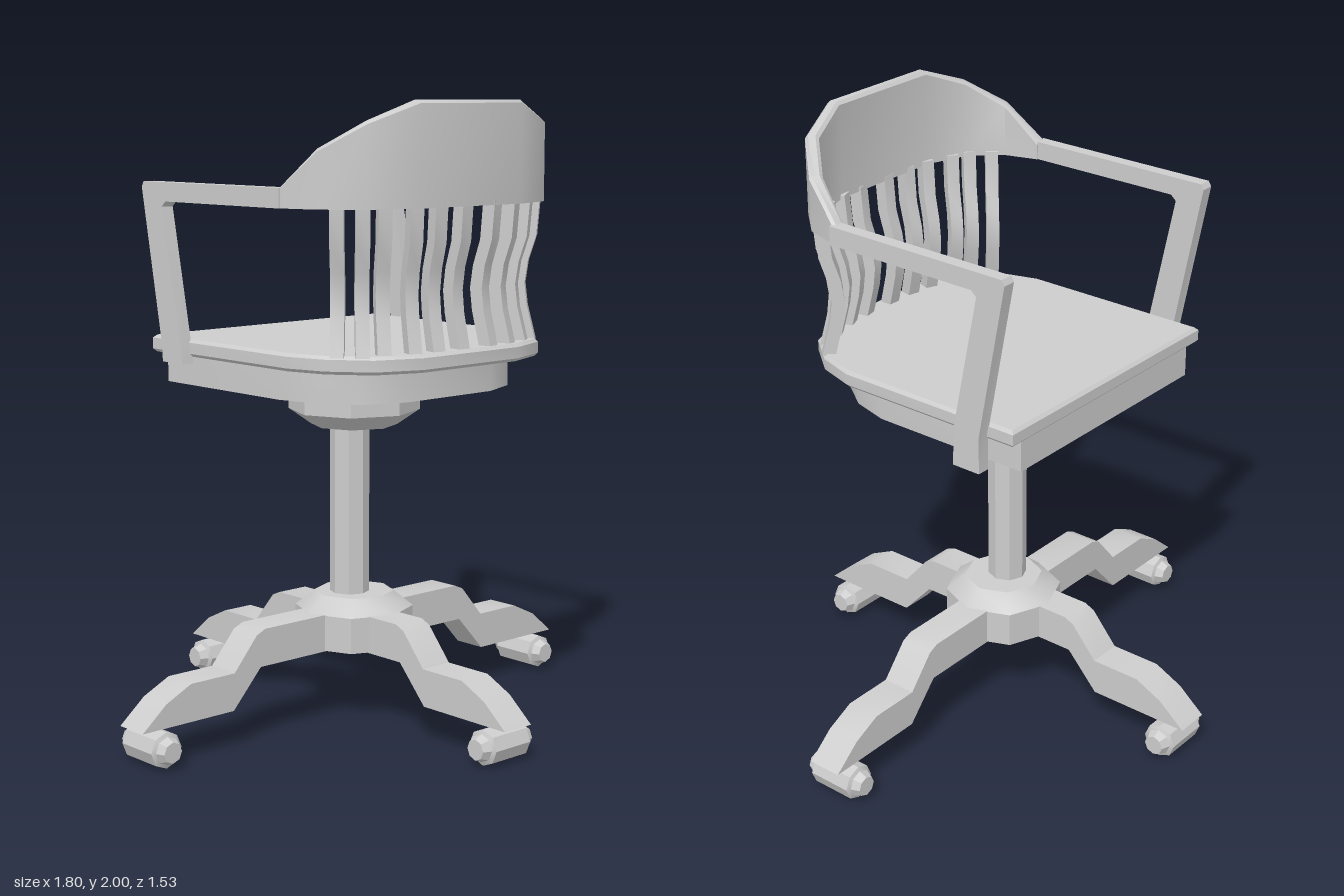
import * as THREE from 'three';
import { toCreasedNormals } from 'three/addons/utils/BufferGeometryUtils.js';

const CX = -0.0175; // centre line of the seat and back

export function createModel() {
  const model = new THREE.Group();
  model.name = 'swivelChair';
  const grey = new THREE.MeshStandardMaterial({ color: 0xcccccc });
  grey.name = 'light grey';

  const add = (name, geometry, parent = model) => {
    const mesh = new THREE.Mesh(toCreasedNormals(geometry, 0.6), grey);
    mesh.name = name;
    parent.add(mesh);
    return mesh;
  };
  const shapeOf = (pts) => new THREE.Shape(pts.map(([x, y]) => new THREE.Vector2(x, y)));
  const slab = (pts, depth) => new THREE.ExtrudeGeometry(shapeOf(pts), { depth, bevelEnabled: false });
  const lathe = (pts) => new THREE.LatheGeometry(pts.map(([r, y]) => new THREE.Vector2(r, y)), 8);

  // Skin a list of equal-sized rings and close both ends
  const loft = (rings) => {
    const n = rings[0].length, last = (rings.length - 1) * n, index = [];
    for (let i = 0; i < rings.length - 1; i++) {
      for (let j = 0; j < n; j++) {
        const a = i * n + j, b = i * n + (j + 1) % n;
        index.push(a, b, a + n, b, b + n, a + n);
      }
    }
    for (let j = 1; j < n - 1; j++) {
      index.push(0, j + 1, j, last, last + j, last + j + 1);
    }
    const g = new THREE.BufferGeometry();
    g.setAttribute('position', new THREE.Float32BufferAttribute(rings.flat(2), 3));
    g.setIndex(index);
    return g;
  };

  // Seat: a board with rounded rear corners over a smaller base
  const seatOutline = (w, front, back) => {
    const half = [[w, front], [w, back - 0.3], [w * 0.92, back - 0.17], [w * 0.73, back - 0.055], [w * 0.42, back]];
    const other = half.map(([x, z]) => [-x, z]).reverse();
    return [...half, ...other].map(([x, z]) => [x + CX, z]);
  };
  const seat = new THREE.ExtrudeGeometry(shapeOf(seatOutline(0.482, -0.41, 0.55)), {
    depth: 0.035, bevelSize: 0.01, bevelThickness: 0.01, bevelOffset: -0.01, bevelSegments: 1,
  });
  add('seatBoard', seat.rotateX(Math.PI / 2).translate(0, 1.245, 0));
  add('seatBase', slab(seatOutline(0.43, -0.4, 0.455), 0.1).rotateX(Math.PI / 2).translate(0, 1.2, 0));

  // Curved back rail: x, z, top height and outward direction
  const side = [
    [0.513, 0.25, 1.745, 0],
    [0.475, 0.38, 1.86, 28],
    [0.375, 0.49, 1.94, 53],
    [0.213, 0.545, 2.0, 80],
  ];
  const railPath = [...side, ...side.slice().reverse().map(([x, z, y, a]) => [-x, z, y, 180 - a])];
  const t = 0.043, c = 0.01;
  add('backRail', loft(railPath.map(([x, z, top, deg]) => {
    const a = THREE.MathUtils.degToRad(deg);
    return [[0, 1.685], [0, top - c], [c, top], [t - c, top], [t, top - c], [t, 1.685]]
      .map(([d, y]) => [CX + x - d * Math.cos(a), y, z - d * Math.sin(a)]);
  })));

  // Back slats, each bowed inward halfway up
  const slats = [
    [-0.4, 0.37], [-0.355, 0.425], [-0.295, 0.445], [-0.205, 0.47], [-0.125, 0.478], [-0.03, 0.478],
    [0.085, 0.478], [0.17, 0.47], [0.255, 0.445], [0.315, 0.425], [0.365, 0.37],
  ];
  const bow = [[1.25, 0.035], [1.36, 0.008], [1.43, 0], [1.5, 0.01], [1.58, 0.035], [1.7, 0.045]];
  const backSlats = new THREE.Group();
  backSlats.name = 'backSlats';
  model.add(backSlats);
  for (const [x, z] of slats) {
    const a = Math.atan2(z, x - CX), ca = Math.cos(a), sa = Math.sin(a), h = 0.021;
    add('slat', loft(bow.map(([y, out]) => [[h, h], [h, -h], [-h, -h], [-h, h]].map(([u, v]) =>
      [x + (out + u) * ca - v * sa, y, z + (out + u) * sa + v * ca]))), backSlats);
  }

  // Armrests with slanted front posts; one post ends higher than the other
  const arm = (name, x, bottom) => {
    const profile = [
      [0.26, 1.685], [0.26, 1.745], [-0.4, 1.745], [-0.41, 1.728], [-0.313, 1.22], [-0.313, bottom],
      [-0.212, bottom], [-0.22, 1.24], [-0.307, 1.668], [-0.288, 1.685],
    ].map(([z, y]) => [-z, y]);
    add(name, slab(profile, 0.043).translate(0, 0, -0.0215).rotateY(Math.PI / 2).translate(x, 0, 0));
  };
  arm('leftArm', CX + 0.5, 1.1);
  arm('rightArm', CX - 0.495, 1.18);

  // Swivel plate, column and lower hub
  add('swivelPlate', lathe([[0, 0.96], [0.14, 0.96], [0.213, 1.01], [0.213, 1.1], [0, 1.1]]));
  add('column', new THREE.CylinderGeometry(0.064, 0.064, 0.67, 8).translate(-0.017, 0.665, -0.003));
  add('hub', lathe([[0, 0.242], [0.193, 0.242], [0.193, 0.358], [0.13, 0.408], [0, 0.408]]));

  // Four legs, each with a caster; the front and rear ones are shorter
  const casterProfile = [
    [0, -0.108], [0.033, -0.108], [0.044, -0.08], [0.057, -0.074], [0.057, 0.074],
    [0.044, 0.08], [0.033, 0.108], [0, 0.108],
  ];
  for (let i = 0; i < 4; i++) {
    const s = i % 2 ? 0.135 : 0;
    const leg = new THREE.Group();
    leg.name = ['leftLeg', 'rearLeg', 'rightLeg', 'frontLeg'][i];
    const profile = [
      [0.9, 0.12], [0.81, 0.195], [0.715, 0.24], [0.545, 0.24], [0.455, 0.345], [0.42, 0.36],
    ].map(([x, y]) => [x - s, y]);
    const under = [[0.44 - s, 0.24], [0.55 - s, 0.12]];
    add('legBeam', slab([...profile, [0, 0.36], [0, 0.24], ...under], 0.114).translate(0, 0, -0.057), leg);
    add('caster', lathe(casterProfile).rotateX(Math.PI / 2).translate(0.825 - s, 0.058, 0), leg);
    leg.rotation.y = i * Math.PI / 2;
    leg.position.set(i % 2 ? -0.024 : 0, 0, i % 2 ? 0 : -0.007);
    model.add(leg);
  }
  return model;
}
